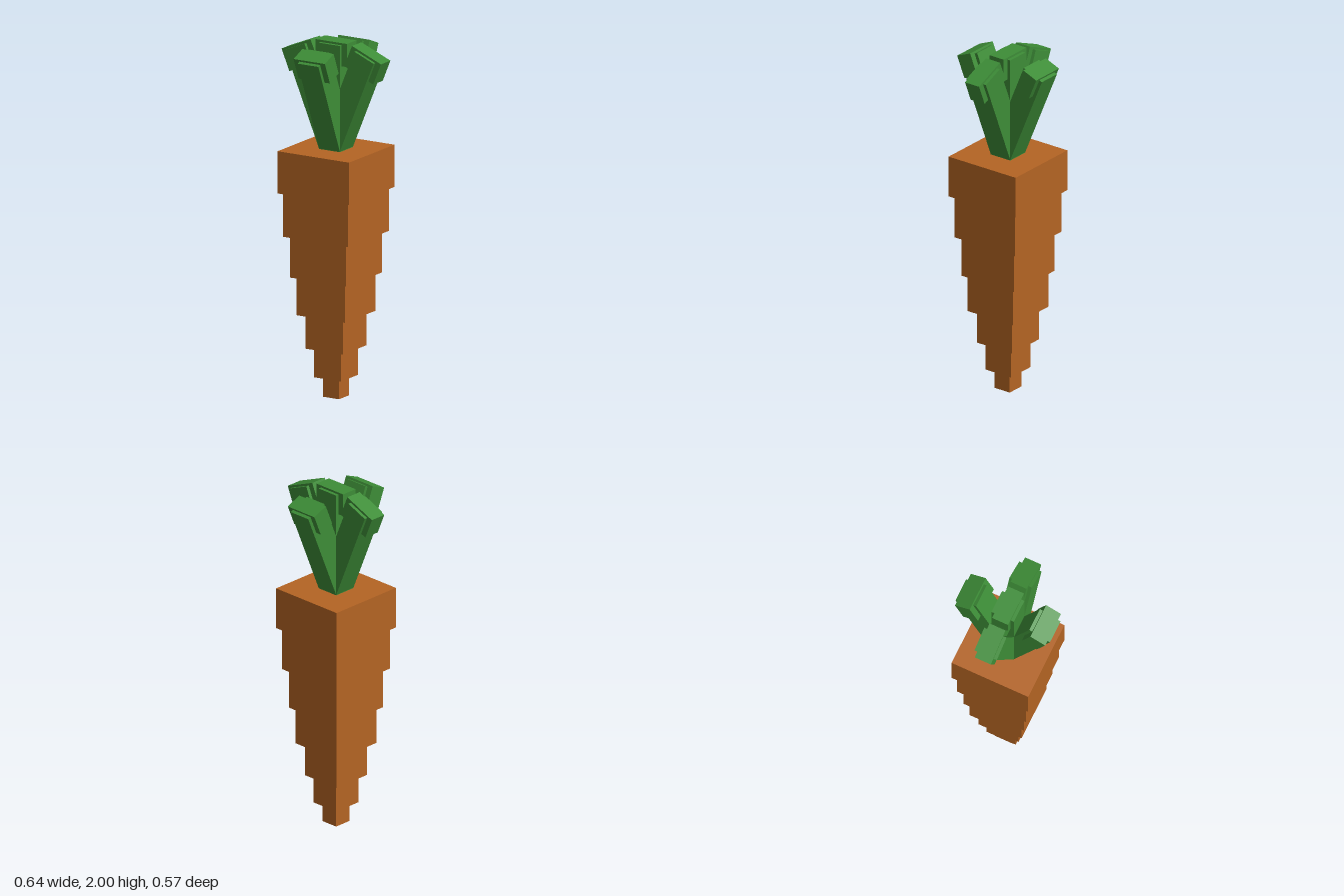
import * as THREE from 'three';

export function createModel() {
  const model = new THREE.Group();
  model.name = 'carrot';
  const orange = new THREE.MeshStandardMaterial({ color: 0xb46423 });
  orange.name = 'carrot orange';
  const green = new THREE.MeshStandardMaterial({ color: 0x3d8d37 });
  green.name = 'leaf green';

  function box(name, parent, material, w, d, y0, y1) {
    const mesh = new THREE.Mesh(new THREE.BoxGeometry(w, y1 - y0, d), material);
    mesh.position.y = (y0 + y1) / 2;
    mesh.name = name;
    parent.add(mesh);
  }

  // Root: square tiers widening upwards, [half width, top height]
  const root = new THREE.Group();
  root.name = 'root';
  model.add(root);
  const tiers = [
    [0.052, 0.112], [0.087, 0.275], [0.12, 0.466], [0.156, 0.679],
    [0.181, 0.91], [0.208, 1.155], [0.23, 1.392],
  ];
  let bottom = 0;
  tiers.forEach(([half, top], i) => {
    box(`rootTier${i + 1}`, root, orange, half * 2, half * 2, bottom, top);
    bottom = top;
  });

  // Leaves: a square stalk with a wide thin tip, all fanning out from one point
  function leaf(name, tiltX, tiltZ) {
    const group = new THREE.Group();
    group.name = name;
    group.position.y = 1.408;
    group.rotation.set(tiltX, 0, tiltZ);
    box('stalk', group, green, 0.134, 0.134, -0.02, 0.58);
    box('leafTip', group, green, 0.202, 0.096, 0.462, 0.592);
    model.add(group);
  }
  const tilt = Math.PI / 8;
  leaf('centreLeaf', 0, 0);
  leaf('leftLeaf', 0, -tilt);
  leaf('rightLeaf', 0, tilt);
  leaf('frontLeaf', tilt, 0);
  leaf('backLeaf', -tilt, 0);

  // Slight offset of the body from the centre line
  model.children.forEach((part) => {
    part.position.x -= 0.001;
    part.position.z -= 0.001;
  });
  return model;
}
